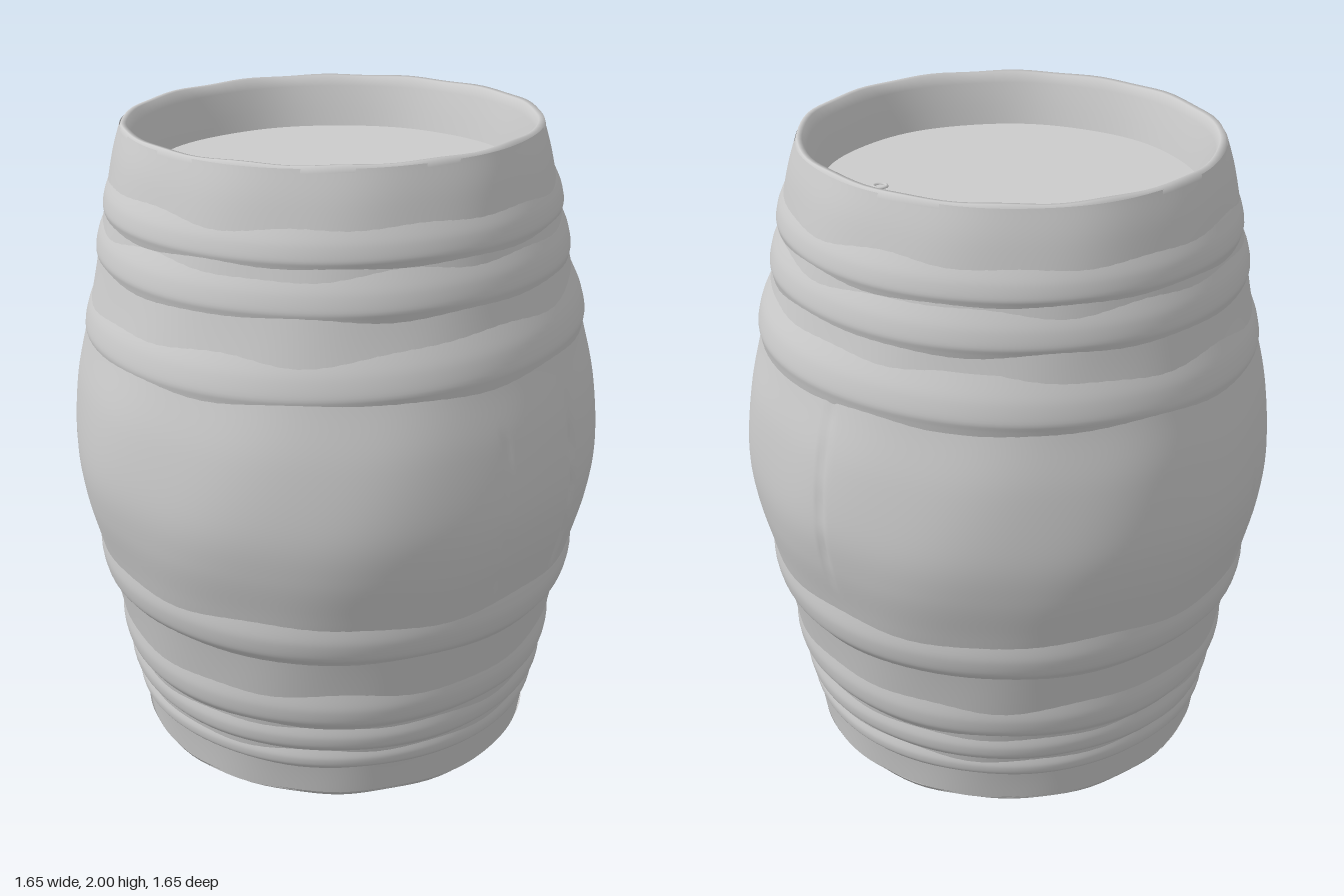
import * as THREE from 'three';
import { mergeVertices } from 'three/addons/utils/BufferGeometryUtils.js';

const V2 = (p) => new THREE.Vector2(p[0], p[1]);
const smooth = THREE.MathUtils.smoothstep;

// Bulging stave outline: [radius, height]
const outline = new THREE.SplineCurve([
  [0.634, 0.01], [0.653, 0.13], [0.687, 0.3], [0.737, 0.55], [0.774, 0.7], [0.81, 0.85], [0.824, 1.0],
  [0.805, 1.2], [0.764, 1.38], [0.727, 1.55], [0.688, 1.75], [0.657, 1.9], [0.63, 1.99],
].map(V2));
const samples = outline.getPoints(90);

function radiusAt(y) {
  let i = 1;
  while (i < samples.length - 1 && samples[i].y < y) i++;
  const a = samples[i - 1], b = samples[i];
  return THREE.MathUtils.lerp(a.x, b.x, (y - a.y) / (b.y - a.y));
}

// Gaps between staves: angle in degrees, bottom, top, depth
const gaps = [
  [8.75, 0.75, 1.2, 0.006], [31.25, 0.72, 1.23, 0.028], [55, 0.63, 1.12, 0.028], [76.25, 0.8, 1.2, 0.004],
  [115, 0.8, 1.38, 0.01], [221.25, 0.72, 1.0, 0.01], [237.5, 0.78, 0.98, 0.02],
];
const bung = { angle: THREE.MathUtils.degToRad(251), y: 0.965 };

// Radial offset of the staves: uneven wear, gaps and bung hole
function staveOffset(angle, y) {
  let d = 0.002 * Math.sin(angle * 5 + y * 3) + 0.0015 * Math.sin(angle * 11 - y * 7);
  for (const [deg, lo, hi, depth] of gaps) {
    const da = angle - THREE.MathUtils.degToRad(deg) - 0.006 * Math.sin(y * 9 + deg);
    const span = smooth(y, lo - 0.04, lo + 0.04) * (1 - smooth(y, hi - 0.06, hi + 0.06));
    d -= depth * span * (0.75 + 0.25 * Math.sin(y * 41 + deg)) * Math.exp(-((da / 0.011) ** 2));
  }
  const r = Math.hypot((angle - bung.angle) * 0.82, y - bung.y);
  return d - 0.07 * (1 - smooth(r, 0.025, 0.06));
}

// The top leans back and dips slightly at the rear
function lean(geometry) {
  const p = geometry.attributes.position;
  for (let i = 0; i < p.count; i++) {
    const w = smooth(p.getY(i), 1, 2), z = p.getZ(i);
    p.setXYZ(i, p.getX(i), p.getY(i) + w * 0.02 * (z - 0.6), z - 0.02 * w);
  }
  return geometry;
}

// Lathe with an optional rule for each point, welded along its seam
function turned(points, segments, rule) {
  let g = new THREE.LatheGeometry(points, segments);
  const p = g.attributes.position;
  if (rule) {
    for (let i = 0; i < p.count; i++) {
      const x = p.getX(i), y = p.getY(i), z = p.getZ(i), r = Math.hypot(x, z);
      const angle = (Math.atan2(x, z) + Math.PI * 2) % (Math.PI * 2);
      const [nr, ny] = rule(r, y, angle, x);
      p.setXYZ(i, (x * nr) / r, ny, (z * nr) / r);
    }
  }
  g.deleteAttribute('uv');
  g.deleteAttribute('normal');
  g = mergeVertices(lean(g), 1e-5);
  g.computeVertexNormals();
  return g;
}

export function createModel() {
  const group = new THREE.Group();
  const material = new THREE.MeshStandardMaterial({ color: 0xcccccc, side: THREE.DoubleSide });
  const add = (name, geometry) => {
    const mesh = new THREE.Mesh(geometry, material);
    mesh.name = name;
    group.add(mesh);
    return mesh;
  };

  // Stave wall
  add('staves', turned(samples, 320, (r, y, angle) => [r + staveOffset(angle, y), y]));

  // Soft, worn hoops: bottom, top, radius added, sideways tilt
  const hoops = [
    [0.125, 0.165, 0.01, 0], [0.2, 0.255, 0.012, 0], [0.3, 0.375, 0.013, 0.004], [0.555, 0.64, 0.017, -0.004],
    [1.39, 1.48, 0.013, 0.03], [1.61, 1.685, 0.011, 0.005], [1.745, 1.81, 0.01, 0],
  ];
  hoops.forEach(([lo, hi, t, tilt], i) => {
    const h = hi - lo;
    const profile = [[-0.4, -0.35], [0.3, -0.1], [0.85, 0.1], [1, 0.35], [0.95, 0.65], [0.75, 0.9], [0.3, 1.2], [-0.4, 1.6]]
      .map(([k, s]) => new THREE.Vector2(radiusAt(lo + h * s) + t * k, lo + h * s));
    const curve = new THREE.SplineCurve(profile).getPoints(18);
    add('hoop' + (i + 1), turned(curve, 96, (r, y, angle, x) => [
      r + 0.0015 * Math.sin(angle * 7 + i * 2), y + tilt * x,
    ]));
  });

  // Worn rims, sloping in to the recessed heads
  const wear = (r, y, angle) => {
    const edge = smooth(Math.abs(y - 1), 0.96, 1);
    return [r + 0.002 * Math.sin(angle * 9), y - Math.sign(y - 1) * 0.004 * edge * Math.sin(angle * 7) ** 2];
  };
  add('topRim', turned([[0.632, 1.98], [0.626, 2.0], [0.61, 1.998], [0.598, 1.965], [0.578, 1.89], [0.564, 1.83]].map(V2), 96, wear));
  add('bottomRim', turned([[0.57, 0.195], [0.582, 0.11], [0.6, 0.03], [0.615, 0.002], [0.628, 0], [0.637, 0.015]].map(V2), 96, wear));

  // Heads
  add('topHead', turned([[0.57, 1.837], [0.3, 1.837], [0, 1.837]].map(V2), 64));
  add('bottomHead', turned([[0, 0.19], [0.3, 0.19], [0.58, 0.19]].map(V2), 64));

  // Small peg hole on the top head
  const peg = add('pegHole', new THREE.TorusGeometry(0.02, 0.006, 8, 20));
  peg.rotation.x = Math.PI / 2;
  peg.position.set(0.37, 1.828, 0.1);

  return group;
}
